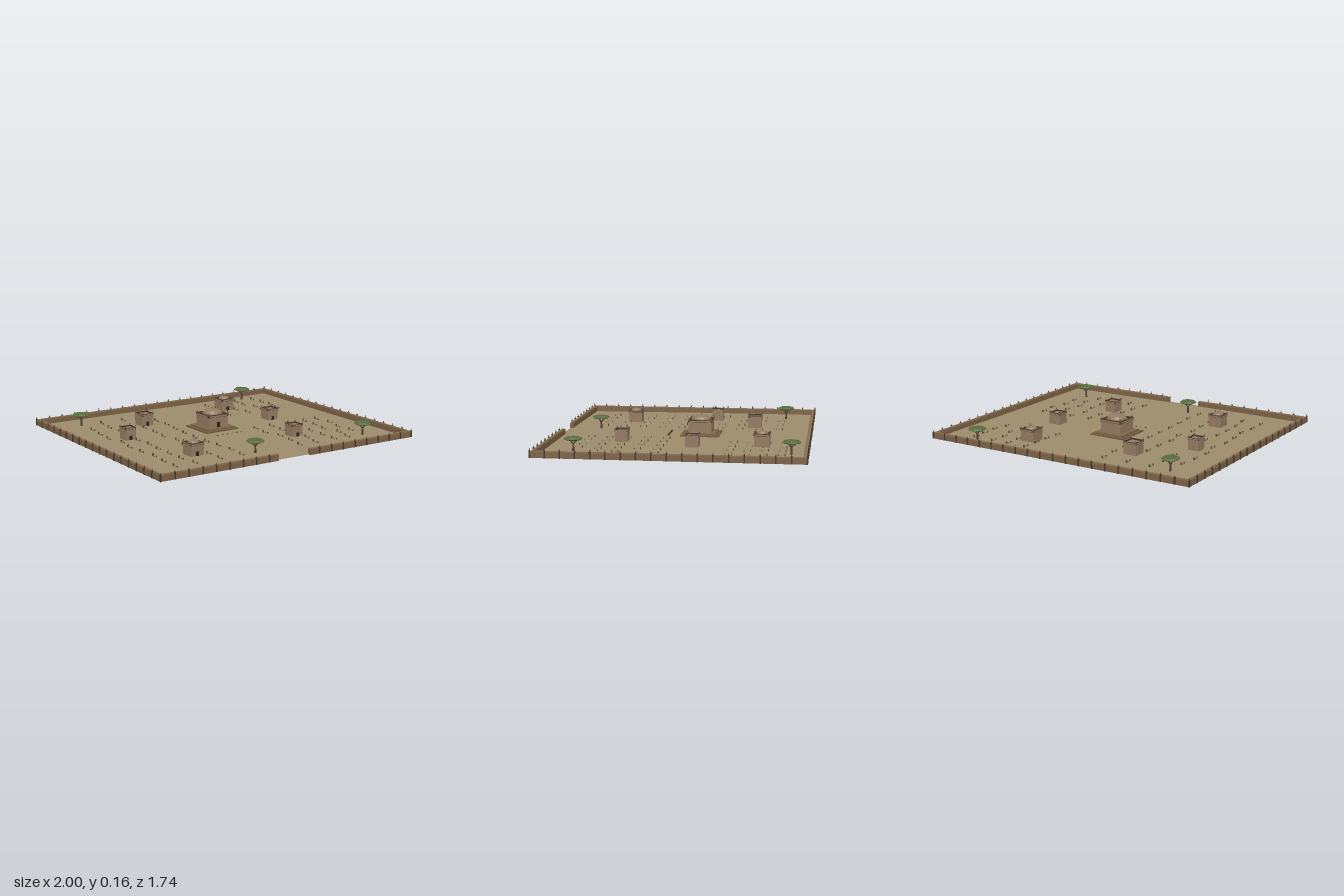
import * as THREE from 'three';

const mat = (color, extra = {}) => {
  const m = new THREE.MeshStandardMaterial({ flatShading: true, ...extra });
  m.color.set(color);
  return m;
};
const SAND = mat(0x9c8c6c, { side: THREE.DoubleSide, flatShading: false });
const WALL = mat(0x7c6246), CAP = mat(0x8a7050), CLAY = mat(0x937a60);
const STEP = mat(0x75593f), STEP2 = mat(0x7f6549), DARK = mat(0x45372a);
const DOOR = mat(0x261c14), BARK = mat(0x4a3826), LEAF = mat(0x586b3c);
const MOUND = mat(0x857659), STONE = mat(0x5b4d3c);

function add(parent, name, geo, material, x = 0, y = 0, z = 0) {
  const mesh = new THREE.Mesh(geo, material);
  mesh.name = name;
  mesh.position.set(x, y, z);
  parent.add(mesh);
  return mesh;
}
// Box placed by the height of its underside
function box(parent, name, w, h, d, material, x, y, z) {
  return add(parent, name, new THREE.BoxGeometry(w, h, d), material, x, y + h / 2, z);
}
function group(parent, name, x = 0, z = 0) {
  const g = new THREE.Group();
  g.name = name;
  g.position.set(x, 0, z);
  parent.add(g);
  return g;
}
let seed = 7;
const jitter = (a) => {
  seed = (seed * 16807) % 2147483647;
  return (seed / 2147483647 - 0.5) * 2 * a;
};
const groundHeight = (x, z) =>
  0.004 + 0.0015 * Math.sin(x * 3.1 + z * 2) + 0.001 * Math.sin(x * 5 - z * 3.7);

// Square tomb with parapet, corner finials, door and optional dome
function tomb(parent, name, x, z, size, base, top, dome) {
  const g = group(parent, name, x, z);
  const s = size / 2, t = size * 0.07, rim = 0.006 + size * 0.03;
  box(g, 'body', size * 0.97, top - base - rim, size * 0.97, CLAY, 0, base, 0);
  for (const side of [-1, 1]) {
    box(g, 'parapet', size, rim * 1.5, t, DARK, 0, top - rim * 1.5, side * (s - t / 2));
    box(g, 'parapet', t, rim * 1.5, size - 2 * t, DARK, side * (s - t / 2), top - rim * 1.5, 0);
    // clay facing just proud of the parapet
    box(g, 'parapetFace', size * 0.9, rim, t, CLAY, 0, top - rim * 1.3, side * (s - t / 2 + 0.001));
    box(g, 'parapetFace', t, rim, size * 0.9, CLAY, side * (s - t / 2 + 0.001), top - rim * 1.3, 0);
    for (const end of [-1, 1]) {
      const h = 0.012 + size * 0.04;
      add(g, 'cornerFinial', new THREE.ConeGeometry(0.0045 + size * 0.012, h, 6), DARK,
        side * (s - t / 2), top + h / 2, end * (s - t / 2));
    }
  }
  const dw = 0.014 + size * 0.06, dh = 0.022 + size * 0.08;
  box(g, 'door', dw, dh, 0.004, DOOR, 0, base, s * 0.97);
  box(g, 'lintel', dw * 1.4, 0.004, 0.006, DARK, 0, base + dh, s * 0.97);
  if (dome) {
    const { r, peak } = dome, y = top - rim;
    add(g, 'drum', new THREE.CylinderGeometry(r * 1.06, r * 1.06, rim, 16), STEP2, 0, y + rim / 2, 0);
    const cap = add(g, 'dome', new THREE.SphereGeometry(r, 16, 7, 0, Math.PI * 2, 0, Math.PI / 2),
      CLAY, 0, y + rim, 0);
    cap.scale.y = (peak - y - rim) / r;
    add(g, 'domeFinial', new THREE.ConeGeometry(r * 0.08, 0.01, 6), DARK, 0, peak + 0.003, 0);
  }
}

// Flat-topped shade tree with a forked trunk
function tree(parent, x, z) {
  const g = group(parent, 'tree', x, z);
  add(g, 'trunk', new THREE.CylinderGeometry(0.005, 0.008, 0.056, 6), BARK, 0, 0.028, 0);
  for (let i = 0; i < 4; i++) {
    const a = (i * Math.PI) / 2 + 0.3;
    const path = new THREE.LineCurve3(new THREE.Vector3(0, 0.05, 0),
      new THREE.Vector3(Math.cos(a) * 0.034, 0.083, Math.sin(a) * 0.034));
    add(g, 'branch', new THREE.TubeGeometry(path, 1, 0.003, 5), BARK);
  }
  const profile = [[0, 0.079], [0.052, 0.079], [0.063, 0.085], [0.047, 0.096], [0, 0.097]];
  add(g, 'canopy', new THREE.LatheGeometry(profile.map((p) => new THREE.Vector2(...p)), 9), LEAF);
}

// Low mound with a headstone and a footstone
function grave(parent, x, z) {
  const g = group(parent, 'grave', x, z);
  const y = groundHeight(x, z);
  g.rotation.y = jitter(0.12);
  const mound = add(g, 'mound', new THREE.SphereGeometry(1, 8, 6), MOUND, 0, y, 0);
  mound.scale.set(0.008, 0.005, 0.024);
  box(g, 'headstone', 0.011, 0.02, 0.004, STONE, 0, y - 0.004, -0.022);
  box(g, 'footstone', 0.008, 0.014, 0.004, STONE, 0, y - 0.004, 0.022);
}

export function createModel() {
  const model = new THREE.Group();
  model.name = 'walledCemetery';
  const X = 0.995, Z = 0.865, T = 0.026, H = 0.038, GATE = 0.125;

  // Gently rolling ground
  const geo = new THREE.PlaneGeometry(2 * X - 0.01, 2 * Z - 0.01, 40, 36).rotateX(-Math.PI / 2);
  const p = geo.attributes.position;
  for (let i = 0; i < p.count; i++) p.setY(i, groundHeight(p.getX(i), p.getZ(i)));
  geo.computeVertexNormals();
  add(model, 'ground', geo, SAND);

  // Boundary wall: body, coping, and pointed stakes on the outer face
  const walls = group(model, 'boundaryWall');
  const run = (w, d, x, z) => {
    box(walls, 'wall', w, H, d, WALL, x, 0, z);
    const along = w > d;
    box(walls, 'coping', along ? w : w * 0.6, 0.006, along ? d * 0.6 : d, CAP, x, H, z);
  };
  const half = X - GATE;
  run(2 * X, T, 0, -Z + T / 2);
  for (const s of [-1, 1]) {
    run(T, 2 * (Z - T), s * (X - T / 2), 0);
    run(half, T, s * (GATE + half / 2), Z - T / 2);
  }
  const stake = (x, z) => {
    box(walls, 'stake', 0.009, 0.046, 0.009, DARK, x, 0, z);
    add(walls, 'stakeTip', new THREE.ConeGeometry(0.005, 0.016, 4), DARK, x, 0.054, z);
  };
  for (let i = 0; i <= 20; i++) {
    const x = -0.994 + i * 0.0994;
    stake(x, -Z + 0.001);
    if (Math.abs(x) > GATE - 0.01) stake(x, Z - 0.001);
  }
  for (let i = 1; i < 18; i++) {
    for (const s of [-1, 1]) stake(s * 0.9955, -Z + (i * 2 * Z) / 18);
  }

  // Central mausoleum on a stepped platform
  box(model, 'lowerStep', 0.267, 0.012, 0.267, STEP, 0, 0, -0.1);
  box(model, 'upperStep', 0.22, 0.024, 0.22, STEP2, 0, 0, -0.1);
  tomb(model, 'mausoleum', 0, -0.1, 0.165, 0.022, 0.112, { r: 0.068, peak: 0.145 });

  // Smaller tombs
  const domed = { r: 0.038, peak: 0.106 };
  [
    [-0.35, -0.45, 0.098, 0.09], [-0.65, -0.15, 0.082, 0.088],
    [0.495, 0.1 - 0.2, 0.09, 0.088], [0.345, 0.395, 0.088, 0.088],
    [0.397, -0.55, 0.106, 0.088, domed], [-0.5, 0.445, 0.1, 0.088, domed],
  ].forEach(([x, z, size, top, dome]) => tomb(model, 'tomb', x, z, size, 0, top, dome));

  // Trees
  [[-0.745, -0.655], [0.7, -0.755], [-0.15, 0.64], [0.75, 0.64]]
    .forEach(([x, z]) => tree(model, x, z));

  // Rows of graves
  const plot = (xs, z0, dz, rows) => {
    for (let r = 0; r < rows; r++)
      for (const x of xs) {
        const gx = x + jitter(0.02), gz = z0 + r * dz;
        const blocked = [[-0.35, -0.45], [-0.65, -0.15], [0.345, 0.395], [0.397, -0.55],
          [-0.5, 0.445], [-0.745, -0.655], [0.75, 0.64]]
          .some(([bx, bz]) => Math.abs(gx - bx) < 0.065 && Math.abs(gz - bz) < 0.07);
        if (!blocked) grave(model, gx, gz);
      }
  };
  plot([-0.75, -0.61, -0.41, -0.24], -0.63, 0.14, 10);
  plot([0.235, 0.37, 0.505, 0.645, 0.77], 0.11, 0.13, 5);
  plot([0.32, 0.475, 0.62, 0.755], -0.695, 0.112, 4);

  // Row of small offerings before the mausoleum
  for (let i = 0; i < 6; i++)
    add(model, 'offering', new THREE.OctahedronGeometry(0.009), DARK, -0.1 + i * 0.04, 0.007, 0.12);

  return model;
}
